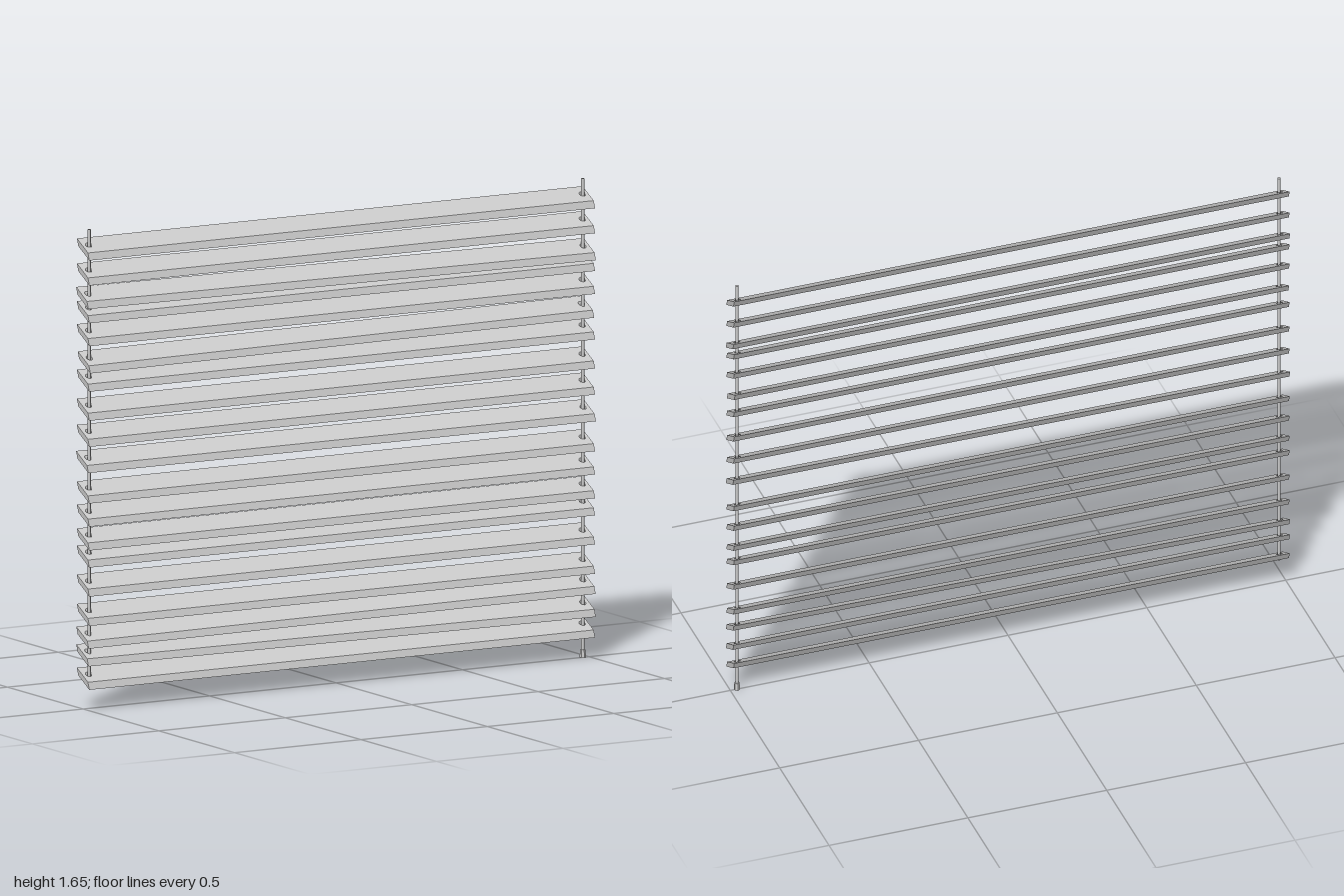
import * as THREE from 'three';

const CORD_X = 0.976;
const grey = new THREE.MeshStandardMaterial({ color: 0xcccccc, flatShading: true });
const smooth = new THREE.MeshStandardMaterial({ color: 0xcccccc });

// Slat: flat board with two cord holes, slanted so the front edge hangs low
function slatGeometry() {
  const half = 0.0365;
  const shape = new THREE.Shape();
  shape.moveTo(-1, -half);
  shape.lineTo(1, -half);
  shape.lineTo(1, half);
  shape.lineTo(-1, half);
  shape.closePath();
  for (const side of [-1, 1]) {
    const hole = new THREE.Path();
    hole.absarc(side * CORD_X, 0, 0.011, 0, Math.PI * 2, true);
    shape.holes.push(hole);
  }
  const geometry = new THREE.ExtrudeGeometry(shape, { depth: 1, bevelEnabled: false, curveSegments: 8 });
  const p = geometry.attributes.position;
  for (let i = 0; i < p.count; i++) {
    const s = p.getY(i);
    const d = p.getZ(i) - 0.5;
    p.setXYZ(i, p.getX(i), s * 0.535 + d * 0.025, -s - d * 0.009);
  }
  geometry.computeVertexNormals();
  return geometry;
}

function cord(name, x, bottom, top) {
  const mesh = new THREE.Mesh(new THREE.CylinderGeometry(0.0055, 0.0055, top - bottom, 10), smooth);
  mesh.name = name;
  mesh.position.set(x, (bottom + top) / 2, 0);
  return mesh;
}

export function createModel() {
  const model = new THREE.Group();
  model.name = 'windowBlind';

  // Slats at uneven heights: [height, roll, yaw], a few hang crooked
  const slats = [
    [1.583], [1.497], [1.41, -0.005, -0.006], [1.367], [1.288], [1.2, 0.005, 0.006],
    [1.131], [1.031], [0.941], [0.85, 0, -0.006], [0.746], [0.666], [0.584], [0.525],
    [0.425], [0.324], [0.25, 0.005, -0.004], [0.18, -0.004, -0.005], [0.104],
  ];
  const geometry = slatGeometry();
  slats.forEach(([y, roll = 0, yaw = 0], i) => {
    const slat = new THREE.Mesh(geometry, grey);
    slat.name = `slat${i + 1}`;
    slat.position.y = y;
    slat.rotation.set(0, yaw, roll);
    model.add(slat);
  });

  // Cords through the slats; the left one hangs lower and carries a pull
  model.add(cord('rightCord', -CORD_X, 0.09, 1.65));
  model.add(cord('leftCord', CORD_X, 0.02, 1.65));

  const pull = new THREE.Mesh(new THREE.CylinderGeometry(0.009, 0.011, 0.027, 6), grey);
  pull.name = 'cordPull';
  pull.position.set(CORD_X, 0.0135, 0);
  model.add(pull);

  return model;
}
